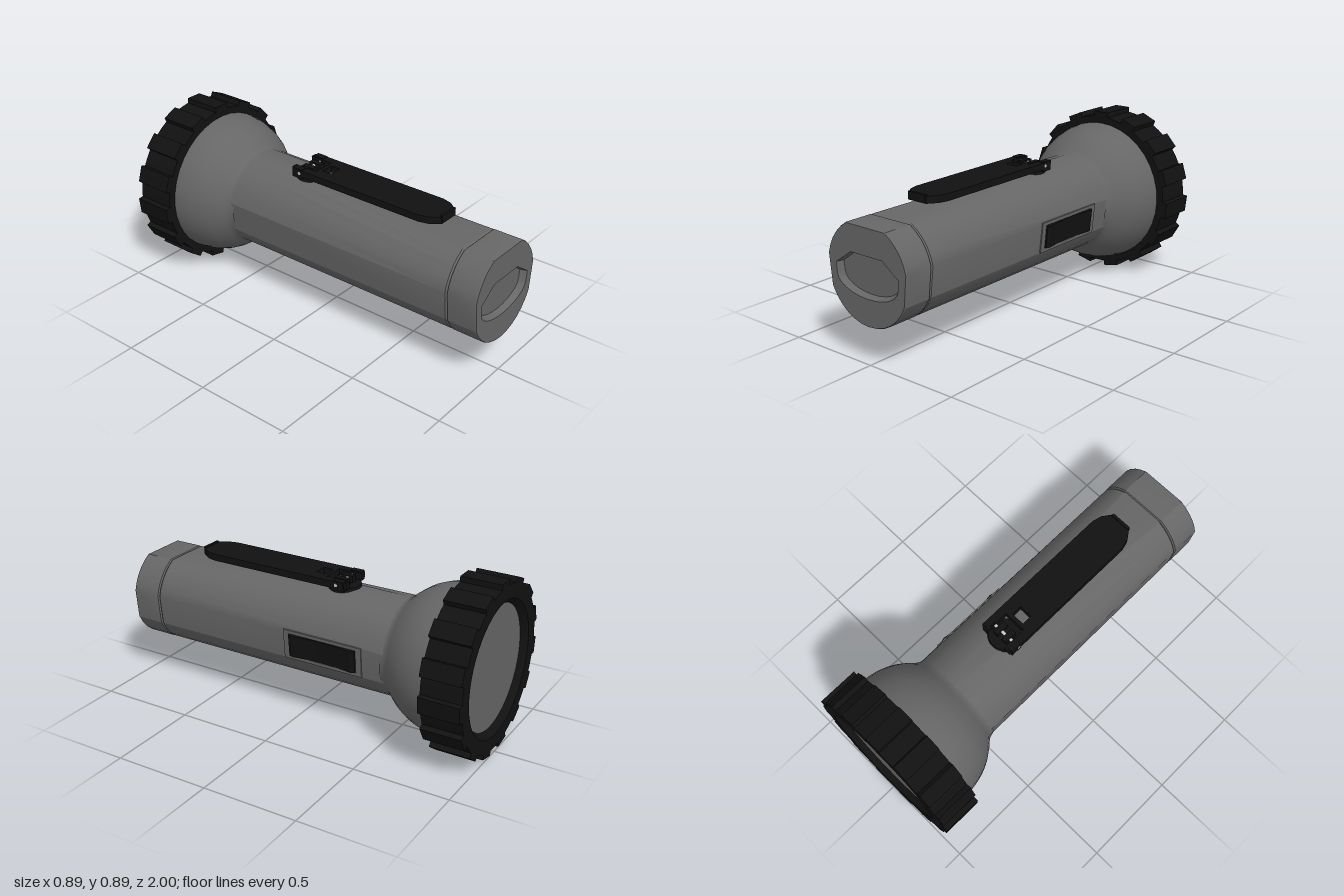
import * as THREE from 'three';
import { toCreasedNormals } from 'three/addons/utils/BufferGeometryUtils.js';

const CY = 0.4425; // height of the long axis
const grey = new THREE.MeshStandardMaterial({ color: 0x666666 });
const black = new THREE.MeshStandardMaterial({ color: 0x111111 });
const blackThin = new THREE.MeshStandardMaterial({ color: 0x111111, side: THREE.DoubleSide });
const steel = new THREE.MeshStandardMaterial({ color: 0xcccccc });
const V2 = (x, y) => new THREE.Vector2(x, y);

function add(parent, name, geometry, material, x = 0, y = 0, z = 0) {
  const mesh = new THREE.Mesh(geometry, material);
  mesh.name = name;
  mesh.position.set(x, y, z);
  parent.add(mesh);
  return mesh;
}

// Skin over closed counter-clockwise outlines, listed from high z to low z
function loft(rings, crease = 0.4) {
  const n = rings[0].points.length, pos = [], index = [];
  for (const { points, z } of rings) for (const p of points) pos.push(p.x, p.y, z);
  for (let i = 0; i < rings.length - 1; i++) {
    for (let j = 0; j < n; j++) {
      const a = i * n + j, b = i * n + (j + 1) % n;
      index.push(a, a + n, b, b, a + n, b + n);
    }
  }
  const g = new THREE.BufferGeometry();
  g.setAttribute('position', new THREE.Float32BufferAttribute(pos, 3));
  g.setIndex(index);
  return toCreasedNormals(g, crease);
}

// Round body section with a flat top and a flat on each side
function bodySection(r, flatY) {
  const top = Math.asin(Math.min(0.996, (flatY - CY) / r)) * 180 / Math.PI;
  const points = [];
  const arc = (from, to, steps) => {
    for (let i = 0; i <= steps; i++) {
      const a = THREE.MathUtils.degToRad(from + (to - from) * i / steps);
      points.push(V2(r * Math.cos(a), CY + r * Math.sin(a)));
    }
  };
  arc(12, top, 5);
  arc(180 - top, 168, 5);
  arc(204, 336, 12);
  return points;
}

// Outline of the recess in the tail: flat top, rounded bottom
function recessOutline(sx, sy) {
  const points = [V2(0.1, 0.53), V2(-0.1, 0.53), V2(-0.2, 0.46)];
  for (let i = 0; i <= 12; i++) {
    const a = (i / 12 - 0.5) * Math.PI;
    points.push(V2(0.195 * Math.sin(a), 0.41 - 0.085 * Math.cos(a)));
  }
  points.push(V2(0.2, 0.46));
  return points.map(p => V2(p.x * sx, 0.53 + (p.y - 0.53) * sy));
}

function lathe(profile, segments) {
  return new THREE.LatheGeometry(profile, segments).rotateX(-Math.PI / 2);
}

function makeBody() {
  const g = new THREE.Group();
  g.name = 'body';
  // Barrel, its top flat rising gently toward the head
  add(g, 'barrel', loft([
    { points: bodySection(0.246, 0.66), z: 0.84 },
    { points: bodySection(0.254, 0.665), z: 0.832 },
    { points: bodySection(0.255, 0.697), z: -0.5 },
    { points: bodySection(0.255, 0.697), z: -0.56 },
  ]), grey);
  // Tail cap with a thin seam before the barrel
  const end = bodySection(0.252, 0.663);
  add(g, 'tailCap', loft([
    { points: end, z: 1 },
    { points: bodySection(0.255, 0.665), z: 0.994 },
    { points: bodySection(0.255, 0.665), z: 0.845 },
    { points: bodySection(0.246, 0.66), z: 0.84 },
  ]), grey);
  // End face and its sunken panel
  const rim = recessOutline(1, 1), floor = recessOutline(0.9, 0.93);
  const face = new THREE.Shape(end);
  face.holes.push(new THREE.Path(rim));
  add(g, 'tailFace', new THREE.ShapeGeometry(face), grey, 0, 0, 1);
  add(g, 'recessWall', loft([{ points: floor, z: 0.97 }, { points: rim, z: 1 }]), grey);
  add(g, 'recessFloor', new THREE.ShapeGeometry(new THREE.Shape(floor)), grey, 0, 0, 0.97);
  return g;
}

function makeHead() {
  const g = new THREE.Group();
  g.name = 'head';
  g.position.y = CY;
  // Bell flaring from the barrel
  const curve = new THREE.SplineCurve([
    V2(0.25, 0.49), V2(0.262, 0.525), V2(0.3, 0.57), V2(0.34, 0.63),
    V2(0.367, 0.7), V2(0.38, 0.77), V2(0.381, 0.81),
  ]);
  add(g, 'bell', lathe(curve.getPoints(20), 36), grey);
  // Toothed grip ring
  const outline = [];
  for (let k = 0; k < 15; k++) {
    for (const [deg, r] of [[-6, 0.418], [-5.6, 0.445], [5.6, 0.445], [6, 0.418], [12, 0.418]]) {
      const a = THREE.MathUtils.degToRad(90 + 24 * k + deg);
      outline.push(V2(r * Math.cos(a), r * Math.sin(a)));
    }
  }
  const shape = new THREE.Shape(outline);
  shape.holes.push(new THREE.Path().absarc(0, 0, 0.345, 0, Math.PI * 2, true));
  const ring = new THREE.ExtrudeGeometry(shape, { depth: 0.21, bevelEnabled: false, curveSegments: 24 });
  add(g, 'gripRing', toCreasedNormals(ring, 0.3), black, 0, 0, -1);
  // Sloped inner rim and lens
  add(g, 'lensRim', lathe([V2(0.315, 0.965), V2(0.345, 1)], 48), blackThin);
  add(g, 'lens', new THREE.CircleGeometry(0.325, 48).rotateY(Math.PI), grey, 0, 0, -0.967);
  return g;
}

function makeClip() {
  const g = new THREE.Group();
  g.name = 'clip';
  // Flat bar: plan drawn in x and z, with a pivot notch and a slot
  const bar = new THREE.Shape([
    V2(-0.09, -0.215), V2(-0.06, -0.215), V2(-0.06, -0.085), V2(0.06, -0.085),
    V2(0.06, -0.215), V2(0.09, -0.215), V2(0.103, -0.2), V2(0.103, 0.57),
    V2(0.09, 0.62), V2(0.055, 0.668), V2(-0.055, 0.668), V2(-0.09, 0.62),
    V2(-0.103, 0.57), V2(-0.103, -0.2),
  ]);
  bar.holes.push(new THREE.Path([V2(-0.035, -0.065), V2(-0.035, -0.01), V2(0.035, -0.01), V2(0.035, -0.065)]));
  const geo = new THREE.ExtrudeGeometry(bar, { depth: 0.036, bevelEnabled: false }).rotateX(Math.PI / 2);
  add(g, 'clipBar', geo, black, 0, 0.742, 0);
  add(g, 'clipLip', new THREE.BoxGeometry(0.11, 0.04, 0.015), black, 0, 0.729, 0.665);
  // Round base, lug, hinge pin and ears
  add(g, 'clipBase', new THREE.CylinderGeometry(0.082, 0.088, 0.032, 28), black, 0, 0.687, -0.155);
  for (const s of [-1, 1]) {
    add(g, 'pivotLug', new THREE.BoxGeometry(0.03, 0.04, 0.07), black, s * 0.028, 0.718, -0.155);
    add(g, 'clipEar', new THREE.BoxGeometry(0.036, 0.05, 0.06), black, s * 0.084, 0.721, -0.175);
  }
  add(g, 'hingePin', new THREE.CylinderGeometry(0.009, 0.009, 0.208, 12).rotateZ(Math.PI / 2), steel, 0, 0.724, -0.16);
  return g;
}

function makeSwitch() {
  // Local axes: x out from the side flat, y up, z along the barrel
  const g = new THREE.Group();
  g.name = 'switch';
  g.position.set(0.241, 0.42, -0.17);
  g.rotation.z = -0.094;
  // Thin frame
  const rect = (C, w, h) => new C([V2(-w, -h), V2(w, -h), V2(w, h), V2(-w, h)]);
  const frame = rect(THREE.Shape, 0.22, 0.08);
  frame.holes.push(rect(THREE.Path, 0.19, 0.062));
  add(g, 'switchFrame', new THREE.ExtrudeGeometry(frame, { depth: 0.02, bevelEnabled: false })
    .rotateY(Math.PI / 2), grey, -0.014, 0, 0);
  // Rocker with a dished face
  const rocker = new THREE.Shape();
  rocker.moveTo(-0.187, -0.02);
  rocker.lineTo(0.187, -0.02);
  rocker.lineTo(0.187, 0.013);
  rocker.lineTo(0.165, 0.02);
  rocker.quadraticCurveTo(0, -0.006, -0.165, 0.02);
  rocker.lineTo(-0.187, 0.013);
  const geo = new THREE.ExtrudeGeometry(rocker, { depth: 0.118, bevelEnabled: false, curveSegments: 12 });
  geo.translate(0, 0, -0.059).rotateX(Math.PI / 2).rotateZ(-Math.PI / 2).rotateX(Math.PI / 2);
  // Map the profile so its height points outward and its length runs along z
  const p = new THREE.ExtrudeGeometry(rocker, { depth: 0.118, bevelEnabled: false, curveSegments: 12 });
  p.translate(0, 0, -0.059);
  p.applyMatrix4(new THREE.Matrix4().makeBasis(
    new THREE.Vector3(0, 0, 1), new THREE.Vector3(1, 0, 0), new THREE.Vector3(0, 1, 0)));
  geo.dispose();
  add(g, 'rocker', toCreasedNormals(p, 0.3), black);
  return g;
}

export function createModel() {
  const model = new THREE.Group();
  model.name = 'flashlight';
  model.add(makeBody(), makeHead(), makeClip(), makeSwitch());
  return model;
}
